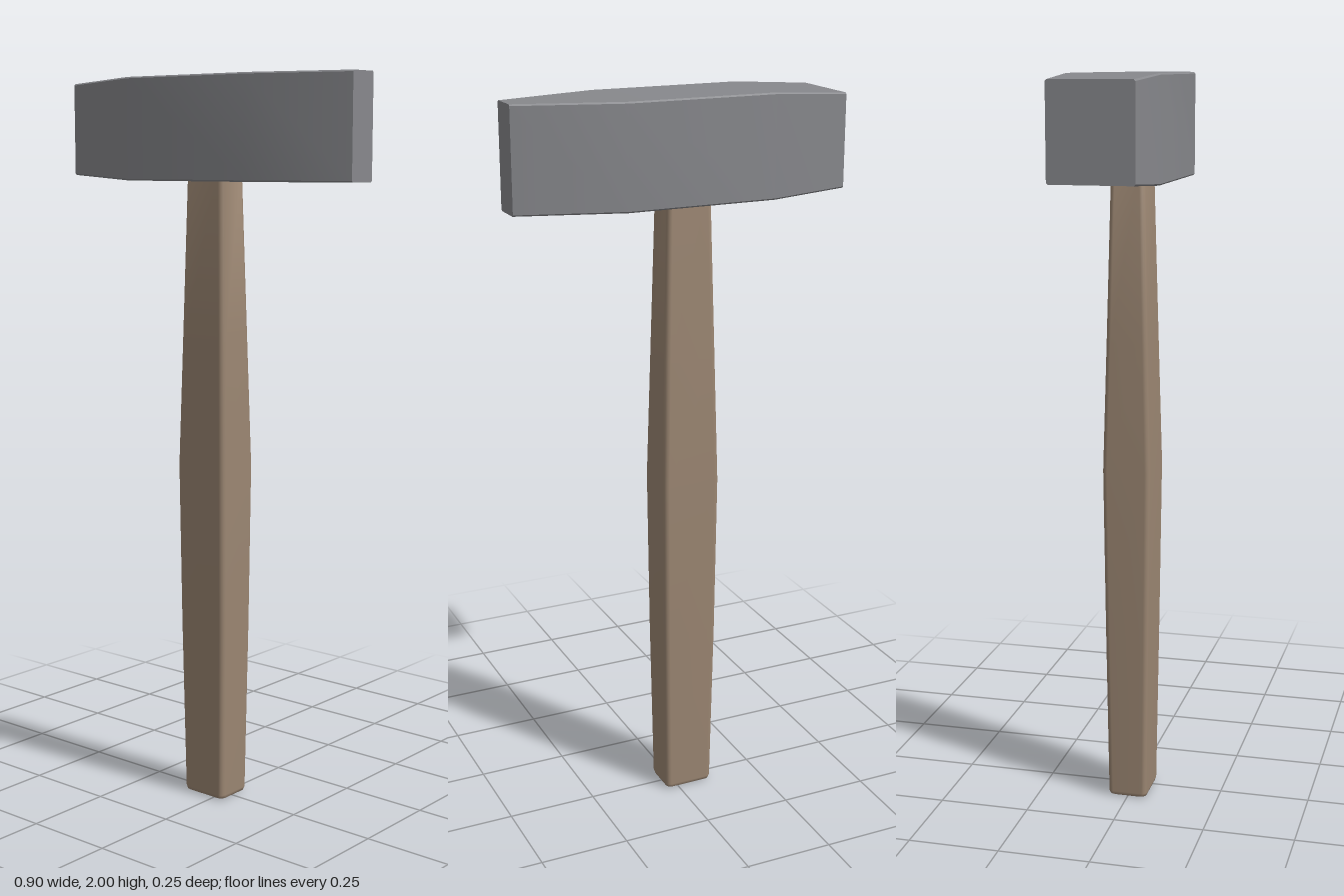
import * as THREE from 'three';
import { toCreasedNormals } from 'three/addons/utils/BufferGeometryUtils.js';

// Rectangle outline with rounded corners, counter-clockwise, as [u, v] pairs
function roundedRect(hu, hv, r, segments) {
  const points = [];
  [[1, 1], [-1, 1], [-1, -1], [1, -1]].forEach(([su, sv], corner) => {
    for (let k = 0; k <= segments; k++) {
      const a = (corner + k / segments) * Math.PI / 2;
      points.push([su * (hu - r) + r * Math.cos(a), sv * (hv - r) + r * Math.sin(a)]);
    }
  });
  return points;
}

// Skin a list of equal-length rings of [x, y, z] and close both ends
function loft(rings) {
  const n = rings[0].length, last = (rings.length - 1) * n;
  const index = [];
  for (let i = 0; i < rings.length - 1; i++) {
    for (let j = 0; j < n; j++) {
      const a = i * n + j, b = i * n + (j + 1) % n;
      index.push(a, b, b + n, a, b + n, a + n);
    }
  }
  for (let j = 1; j < n - 1; j++) {
    index.push(0, j + 1, j, last, last + j, last + j + 1);
  }
  const geometry = new THREE.BufferGeometry();
  geometry.setAttribute('position', new THREE.Float32BufferAttribute(rings.flat(2), 3));
  geometry.setIndex(index);
  return geometry;
}

export function createModel() {
  const steel = new THREE.MeshStandardMaterial({ color: 0x87888c });
  steel.name = 'steel';
  const wood = new THREE.MeshStandardMaterial({ color: 0x9b8672 });
  wood.name = 'wood';

  // Head: square striking face at -x, wedge-shaped peen at +x
  const headSections = [ // x, half height, half depth
    [-0.449, 0.124, 0.111],
    [-0.24, 0.137, 0.123],
    [0.17, 0.137, 0.123],
    [0.449, 0.137, 0.043],
  ];
  const headRings = headSections.map(([x, h, d]) =>
    roundedRect(h, d, 0.004, 1).map(([u, v]) => [x, 1.863 + u, v]));
  const head = new THREE.Mesh(toCreasedNormals(loft(headRings), 0.6), steel);
  head.name = 'head';

  // Handle: swollen in the middle, soft corners, bevelled butt
  const handleSections = [ // y, half width, half depth
    [0, 0.060, 0.045],
    [0.004, 0.067, 0.052],
    [0.014, 0.070, 0.055],
    [0.5, 0.078, 0.061],
    [0.95, 0.082, 0.066],
    [1.3, 0.074, 0.057],
    [1.76, 0.063, 0.046],
  ];
  const handleRings = handleSections.map(([y, w, d]) =>
    roundedRect(w, d, 0.014, 3).map(([u, v]) => [-0.033 + u, y, -v]));
  const handleGeometry = loft(handleRings);
  handleGeometry.computeVertexNormals();
  const handle = new THREE.Mesh(handleGeometry, wood);
  handle.name = 'handle';

  const model = new THREE.Group();
  model.name = 'hammer';
  model.add(head, handle);
  return model;
}
